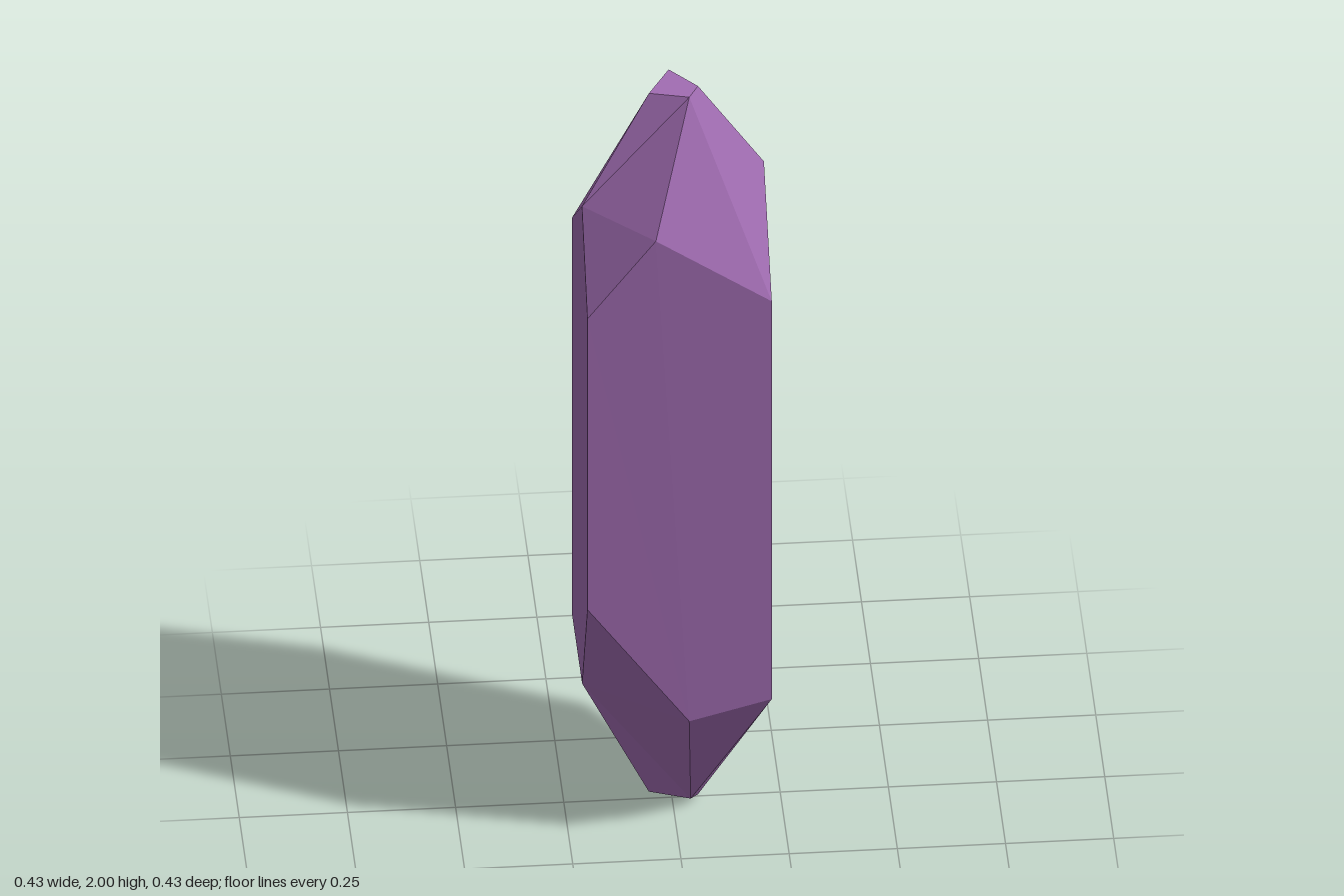
import * as THREE from 'three';

const S = 0.213; // half width of the shaft

// Each end has a ring of corners, a ring of side peaks and a ring of tip points.
// Peaks and tips run front, right, back, left; corner i lies between peaks i and i + 1.
const ring = (points) => points.map((p) => new THREE.Vector3(...p));

const corners = (heights) => ring([[1, 1], [1, -1], [-1, -1], [-1, 1]].map(([x, z], i) => [x * S, heights[i], z * S]));

const top = {
  corners: corners([1.525, 1.28, 1.49, 1.5]),
  peaks: ring([[-0.055, 1.71, 0.215], [S, 1.765, -0.007], [-0.003, 1.77, -0.217], [-S, 1.71, 0.06]]),
  tips: ring([[0.037, 1.985, 0.036], [0.06, 1.99, 0], [-0.003, 2, -0.058], [-0.055, 1.99, 0.02]]),
};

const bottom = {
  corners: corners([0.41, 0.505, 0.375, 0.685]),
  peaks: ring([[0.022, 0.36, 0.215], [S, 0.32, -0.092], [-0.087, 0.23, -0.217], [-S, 0.375, 0.064]]),
  tips: ring([[0.04, 0.02, 0.038], [0.06, 0.005, 0], [0, 0, -0.056], [-0.055, 0.03, 0.016]]),
};

// Flat-shaded mesh from polygons, each cut as a fan from its first point
function facetMesh(name, polygons, material) {
  const points = [];
  for (const p of polygons) {
    for (let i = 1; i < p.length - 1; i++) points.push(p[0], p[i], p[i + 1]);
  }
  const geometry = new THREE.BufferGeometry().setFromPoints(points);
  geometry.computeVertexNormals();
  const mesh = new THREE.Mesh(geometry, material);
  mesh.name = name;
  return mesh;
}

// Four corner facets and the small cap of one pointed end
function pointFacets({ corners: c, peaks: m, tips: t }, flip) {
  const polygons = [[...t]];
  for (let i = 0; i < 4; i++) {
    const j = (i + 1) % 4;
    polygons.push(i % 2 === 0
      ? [c[i], m[j], t[j], t[i], m[i]]
      : [m[i], c[i], m[j], t[j], t[i]]);
  }
  return flip ? polygons.map(([first, ...rest]) => [first, ...rest.reverse()]) : polygons;
}

export function createModel() {
  const purple = new THREE.MeshStandardMaterial({ color: 0x9f6bb0, flatShading: true });
  purple.name = 'crystalPurple';

  // Six-sided faces of the shaft
  const sides = [0, 1, 2, 3].map((i) => {
    const h = (i + 3) % 4;
    return [bottom.peaks[i], bottom.corners[i], top.corners[i], top.peaks[i], top.corners[h], bottom.corners[h]];
  });

  const crystal = new THREE.Group();
  crystal.name = 'crystal';
  crystal.add(
    facetMesh('shaft', sides, purple),
    facetMesh('upperPoint', pointFacets(top, false), purple),
    facetMesh('lowerPoint', pointFacets(bottom, true), purple),
  );
  return crystal;
}
